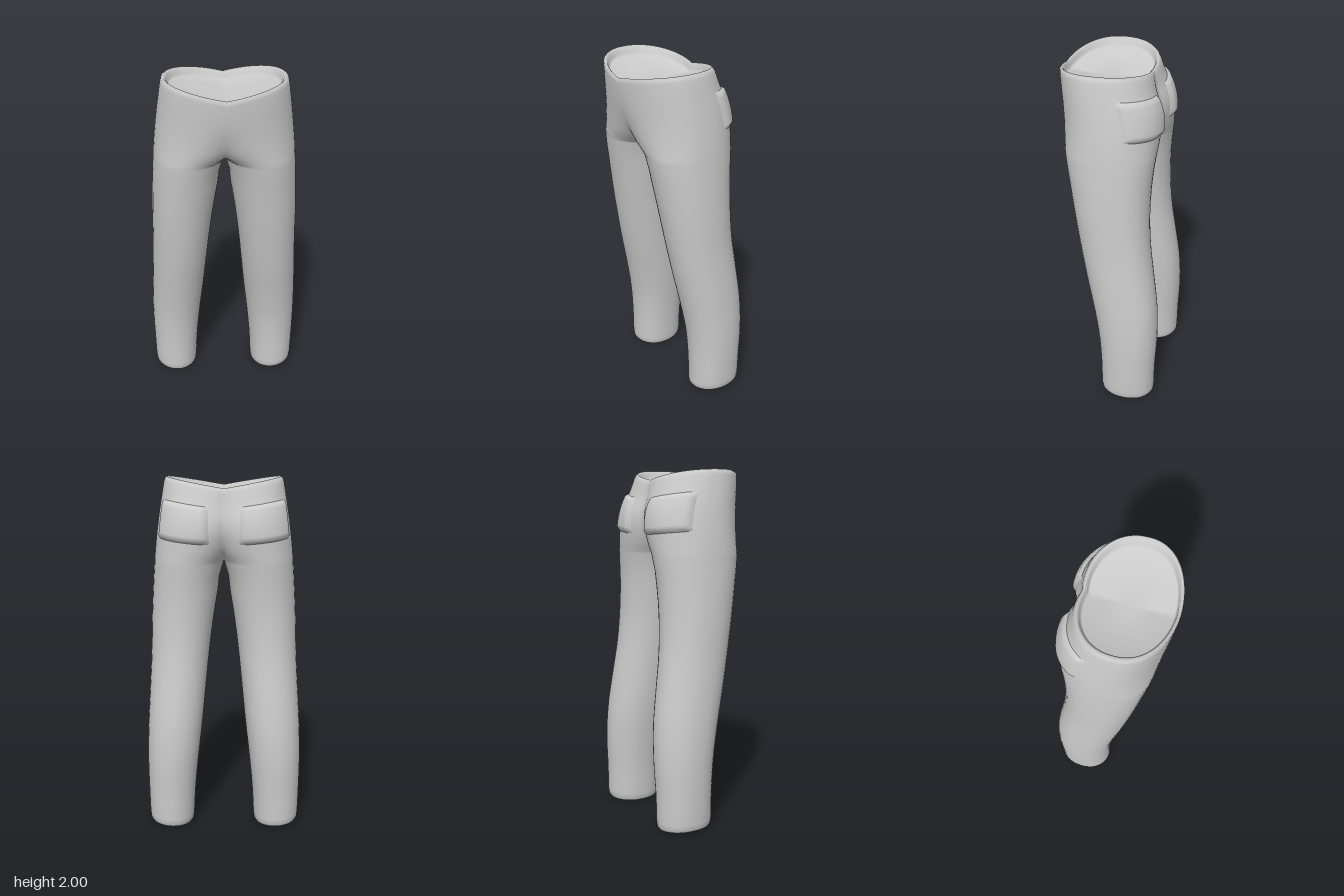
import * as THREE from 'three';
import { mergeVertices } from 'three/addons/utils/BufferGeometryUtils.js';

const material = new THREE.MeshStandardMaterial({ color: 0xcccccc });
const { clamp, lerp, smoothstep } = THREE.MathUtils;

// One leg and its half of the hips, by height:
// y, outer x, inner x (front), inner x (back), front z, back z.
// A negative inner x means the section is cut off at the middle seam.
const CROTCH = 1.53;
const PROFILE = [
  [0.0, 0.437, 0.177, 0.177, 0.02, -0.3],
  [0.2, 0.442, 0.167, 0.167, 0.022, -0.302],
  [0.4, 0.445, 0.148, 0.148, 0.037, -0.31],
  [0.6, 0.44, 0.125, 0.125, 0.072, -0.302],
  [0.8, 0.43, 0.105, 0.105, 0.115, -0.275],
  [1.0, 0.42, 0.085, 0.085, 0.153, -0.247],
  [1.2, 0.415, 0.06, 0.06, 0.187, -0.235],
  [1.4, 0.405, 0.027, 0.027, 0.22, -0.24],
  [CROTCH, 0.396, 0, 0, 0.243, -0.253],
  [1.6, 0.39, -0.1, -0.045, 0.256, -0.26],
  [1.7, 0.379, -0.21, -0.085, 0.273, -0.265],
  [1.8, 0.366, -0.29, -0.115, 0.29, -0.25],
  [1.9, 0.351, -0.325, -0.15, 0.303, -0.215],
  [2.0, 0.335, -0.335, -0.2, 0.312, -0.19],
];
const spline = new THREE.CubicInterpolant(
  PROFILE.map((r) => r[0]), PROFILE.flatMap((r) => r.slice(1)), 5, new Float32Array(5));

// Point on the left half: u runs from -1 (back seam) over 0 (outside) to 1 (front seam).
// inset pulls the point towards the middle of the section, lift moves it up.
function surface(u, y, inset = 0, lift = 0) {
  const [xo, xf, xb, zf, zb] = spline.evaluate(y);
  const above = y >= CROTCH - 1e-6;
  let xi = u > 0 ? xf : xb;
  xi = above ? Math.min(0, xi) : Math.max(0, xf);
  const cx = (xo + xi) / 2, rx = (xo - xi) / 2;
  const zc = (zf + zb) / 2, rz = (zf - zb) / 2;
  const end = above ? Math.acos(clamp(-cx / rx, -1, 1)) : Math.PI;
  const t = Math.abs(u) * end;
  let x = cx + rx * Math.cos(t);
  if (above && Math.abs(u) === 1) x = 0;
  let z = zc + Math.sign(u) * rz * Math.pow(Math.max(0, Math.sin(t)), 0.9);
  x = lerp(x, above ? 0 : cx, inset);
  z = lerp(z, zc, inset);
  // dipped waistline and slightly slanted hems
  const dip = 0.06 * (1 - Math.min(1, x / 0.335)) * smoothstep(y, 1.6, 2);
  const hem = 0.06 * (x - 0.18) * (1 - smoothstep(y, 0.02, 0.3));
  return new THREE.Vector3(x, y + lift - dip + hem, z);
}

// Smooth skin over rows of points; sides lists 1 and/or -1 (mirrored).
function skin(rows, sides) {
  const pos = [], index = [], n = rows[0].length;
  for (const s of sides) {
    const base = pos.length / 3;
    rows.forEach((row) => row.forEach((p) => pos.push(s * p.x, p.y, p.z)));
    for (let j = 0; j < rows.length - 1; j++) {
      for (let i = 0; i < n - 1; i++) {
        const a = base + j * n + i, b = a + 1, c = a + n, d = c + 1;
        if (s > 0) index.push(a, c, b, b, c, d);
        else index.push(a, b, c, b, d, c);
      }
    }
  }
  let g = new THREE.BufferGeometry();
  g.setAttribute('position', new THREE.Float32BufferAttribute(pos, 3));
  g.setIndex(index);
  g = mergeVertices(g, 1e-4);
  g.computeVertexNormals();
  return g;
}

function trouserGeometry() {
  // height, inset, lift: hollow hem, rounded edge, leg, hips, rounded waist, sunken inside
  const levels = [
    [0.02, 1, 0.07], [0.02, 0.5, 0.065], [0.02, 0.36, 0.035], [0.02, 0.26, 0],
    [0.02, 0.17, -0.016], [0.02, 0.08, -0.018], [0.02, 0.02, -0.004],
  ];
  for (let i = 0; i <= 18; i++) levels.push([lerp(0.045, CROTCH, i / 18), 0, 0]);
  for (let i = 1; i <= 14; i++) levels.push([lerp(CROTCH, 1.97, Math.pow(i / 14, 1.5)), 0, 0]);
  levels.push([2, 0.005, -0.01], [2, 0.04, 0], [2, 0.08, -0.01],
    [2, 0.1, -0.03], [2, 0.13, -0.045], [2, 0.5, -0.05], [2, 1, -0.05]);
  const N = 40;
  return skin(levels.map(([y, inset, lift]) =>
    Array.from({ length: N + 1 }, (_, i) => surface(-1 + (2 * i) / N, y, inset, lift))), [1, -1]);
}

// Raised patch that follows the seat, its edges sinking into the cloth.
function pocketGeometry(side) {
  const cols = 18, rowsN = 16, e = 0.004, rows = [];
  for (let j = 0; j <= rowsN; j++) {
    const v = j / rowsN, row = [];
    for (let i = 0; i <= cols; i++) {
      const w = i / cols, u = lerp(-0.84, -0.17, w);
      const y = lerp(1.635 + 0.03 * w, 1.885, v);
      const p = surface(u, y);
      const du = surface(u + e, y).sub(surface(u - e, y));
      const dy = surface(u, y + e).sub(surface(u, y - e));
      const normal = dy.cross(du).normalize();
      const edge = Math.min(w, 1 - w, v, 1 - v);
      row.push(p.addScaledVector(normal, lerp(-0.006, 0.016, smoothstep(edge, 0, 0.12))));
    }
    rows.push(row);
  }
  return skin(rows, [side]);
}

export function createModel() {
  const group = new THREE.Group();
  group.name = 'trousers';
  const add = (name, geometry) => {
    const mesh = new THREE.Mesh(geometry, material);
    mesh.name = name;
    group.add(mesh);
  };
  add('legsAndHips', trouserGeometry());
  add('leftBackPocket', pocketGeometry(1));
  add('rightBackPocket', pocketGeometry(-1));
  return group;
}
